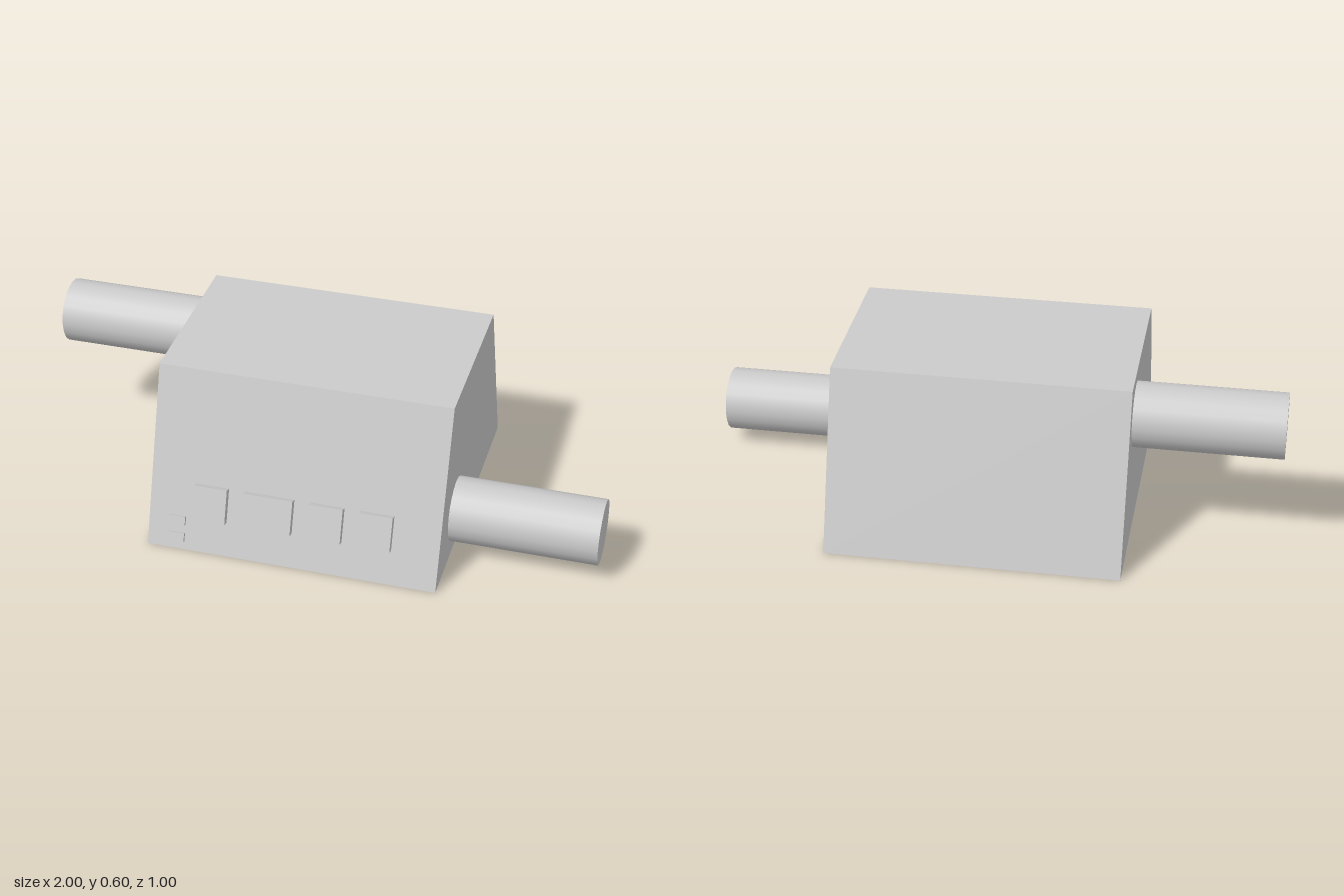
import * as THREE from 'three';

const material = new THREE.MeshStandardMaterial({ color: 0xcccccc });

function part(name, geometry, parent) {
  const mesh = new THREE.Mesh(geometry, material);
  mesh.name = name;
  parent.add(mesh);
  return mesh;
}

export function createModel() {
  const model = new THREE.Group();
  model.name = 'model';

  // Body: trapezoid side profile extruded across x
  const profile = new THREE.Shape([
    new THREE.Vector2(-0.5, 0), new THREE.Vector2(0.5, 0),
    new THREE.Vector2(0.3, 0.6), new THREE.Vector2(-0.3, 0.6),
  ]);
  const bodyGeometry = new THREE.ExtrudeGeometry(profile, { depth: 1, bevelEnabled: false });
  bodyGeometry.translate(0, 0, -0.5).rotateY(Math.PI / 2);
  part('body', bodyGeometry, model);

  // Pipes: low on the left side towards the front, high on the right side towards the back
  const pipes = [['leftPipe', 0.75, 0.15, 0.224], ['rightPipe', -0.75, 0.45, -0.178]];
  for (const [name, x, y, z] of pipes) {
    const pipe = new THREE.CylinderGeometry(0.111, 0.111, 0.5, 20).rotateZ(Math.PI / 2);
    part(name, pipe, model).position.set(x, y, z);
  }

  // Control panel: local z points out of the sloping front face
  const tilt = Math.atan2(0.2, 0.6);
  const panel = new THREE.Group();
  panel.name = 'controlPanel';
  panel.position.set(0, 0, 0.5);
  panel.rotation.x = -tilt;
  model.add(panel);

  const sink = 0.01; // how far each block is set into the face
  function block(name, x, height, w, h, out) {
    const mesh = part(name, new THREE.BoxGeometry(w, h, out + sink), panel);
    mesh.position.set(x, height / Math.cos(tilt), (out - sink) / 2);
  }

  // Row of large buttons
  const buttons = [[-0.286, 0.114], [-0.087, 0.17], [0.113, 0.114], [0.282, 0.114]];
  buttons.forEach(([x, w], i) => block(`button${i + 1}`, x, 0.17, w, 0.12, 0.026));

  // Two small indicators
  [0.097, 0.041].forEach((y, i) => block(`indicator${i + 1}`, -0.4, y, 0.057, 0.03, 0.01));

  return model;
}
